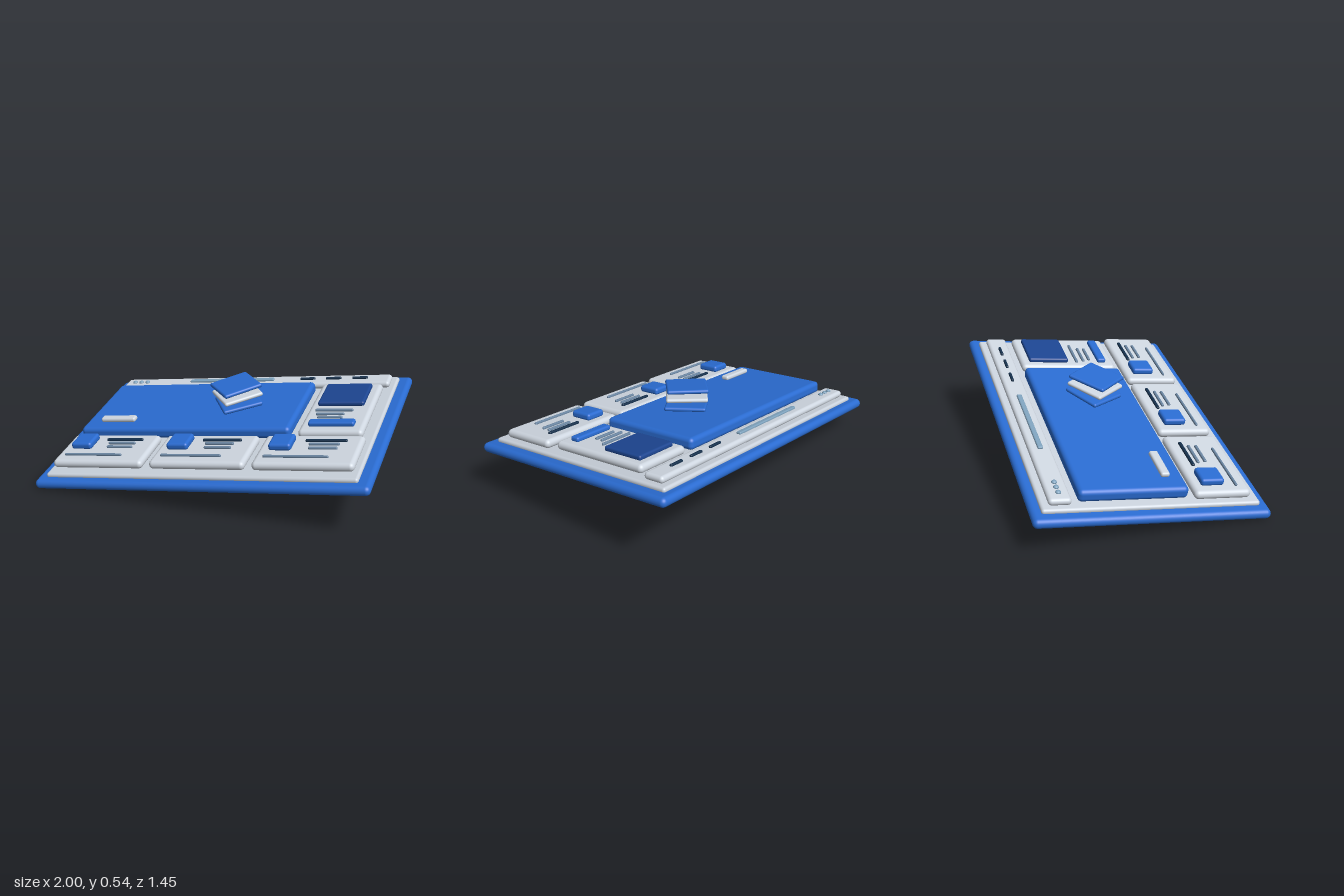
import * as THREE from 'three';
import { RoundedBoxGeometry } from 'three/addons/geometries/RoundedBoxGeometry.js';

const mat = (name, color) => {
  const m = new THREE.MeshStandardMaterial({ color });
  m.name = name;
  return m;
};

export function createModel() {
  const blue = mat('blue', 0x2a6cd2);
  const navy = mat('navy', 0x1d4692);
  const darkNavy = mat('darkNavy', 0x15304c);
  const lightGrey = mat('lightGrey', 0xd0d8e2);
  const panelGrey = mat('panelGrey', 0xcbd3dd);
  const slate = mat('slate', 0x6b86a2);
  const paleSlate = mat('paleSlate', 0x7fa3be);

  const model = new THREE.Group();
  model.name = 'dashboardModel';

  // Everything is laid out flat, then the whole board is tilted
  const board = new THREE.Group();
  board.name = 'tiltedBoard';
  board.position.set(0.004, 0.211, -0.003);
  board.rotation.set(0.124, -0.07, 0.15);
  model.add(board);

  // Rounded slab given by centre (x, z), size (w, d) and bottom / top heights
  const slab = (parent, name, material, x, z, w, d, y0, y1, radius = 0.012) => {
    const h = y1 - y0;
    const geo = new RoundedBoxGeometry(w, h, d, 4, Math.min(radius, h * 0.49, d * 0.49));
    const mesh = new THREE.Mesh(geo, material);
    mesh.name = name;
    mesh.position.set(x, (y0 + y1) / 2, z);
    parent.add(mesh);
    return mesh;
  };
  const line = (parent, name, material, x, z, length, y, d = 0.017) =>
    slab(parent, name, material, x, z, length, d, y - 0.005, y + 0.012, 0.007);

  // Base frame, underside plate and inner panel
  slab(board, 'frame', blue, 0, 0, 1.94, 1.3, 0, 0.055, 0.027);
  const under = new THREE.Mesh(new THREE.BoxGeometry(1.875, 0.006, 1.235), navy);
  under.name = 'undersidePlate';
  board.add(under);
  slab(board, 'innerPanel', panelGrey, -0.003, 0, 1.812, 1.198, 0.045, 0.077, 0.015);

  // Top bar with round buttons, search field and menu items
  const topBar = new THREE.Group();
  topBar.name = 'topBar';
  board.add(topBar);
  slab(topBar, 'barBody', lightGrey, -0.004, -0.5, 1.75, 0.122, 0.075, 0.115, 0.02);
  for (let i = 0; i < 3; i++) {
    const dot = new THREE.Mesh(new THREE.SphereGeometry(0.015, 20, 12), paleSlate);
    dot.name = 'roundButton';
    dot.scale.y = 0.7;
    dot.position.set(-0.813 + i * 0.044, 0.117, -0.5);
    topBar.add(dot);
    line(topBar, 'menuItem', darkNavy, 0.36 + i * 0.163, -0.502, 0.095, 0.115);
  }
  line(topBar, 'searchField', paleSlate, -0.136, -0.5, 0.56, 0.115, 0.03);

  // Large banner with its button
  slab(board, 'banner', blue, -0.214, -0.106, 1.302, 0.6, 0.08, 0.15, 0.025);
  slab(board, 'bannerButton', lightGrey, -0.65, 0.09, 0.222, 0.05, 0.147, 0.175);

  // Side card with picture, text lines and button
  const side = new THREE.Group();
  side.name = 'sideCard';
  board.add(side);
  slab(side, 'sideCardBody', lightGrey, 0.663, -0.106, 0.367, 0.597, 0.08, 0.13, 0.025);
  slab(side, 'picture', navy, 0.66, -0.232, 0.27, 0.247, 0.125, 0.155);
  for (const [x, z, length] of [[0.635, -0.052, 0.22], [0.622, -0.006, 0.165], [0.63, 0.035, 0.145]]) {
    line(side, 'textLine', slate, x, z, length, 0.13);
  }
  slab(side, 'sideButton', blue, 0.66, 0.11, 0.262, 0.054, 0.125, 0.155);

  // Three lower cards
  for (const x of [-0.603, -0.002, 0.596]) {
    const card = new THREE.Group();
    card.name = 'lowerCard';
    card.position.set(x, 0, 0.386);
    board.add(card);
    slab(card, 'cardBody', lightGrey, 0, 0, 0.558, 0.32, 0.08, 0.13, 0.025);
    slab(card, 'cardIcon', blue, -0.155, -0.046, 0.127, 0.132, 0.125, 0.167, 0.016);
    line(card, 'cardTitle', darkNavy, 0.08, -0.086, 0.23, 0.13, 0.019);
    line(card, 'textLine', slate, 0.077, -0.047, 0.17, 0.13);
    line(card, 'textLine', slate, 0.08, -0.003, 0.16, 0.13);
    line(card, 'footerLine', slate, -0.048, 0.087, 0.36, 0.13, 0.015);
  }

  // Stack of floating square plates, each turned a little further
  const plates = [[0.185, 58, blue], [0.237, 51, lightGrey], [0.288, 48, blue]];
  for (const [y, angle, material] of plates) {
    const plate = slab(board, 'floatingPlate', material, 0.06, -0.08, 0.236, 0.236, y - 0.012, y + 0.012);
    plate.rotation.y = -THREE.MathUtils.degToRad(angle);
  }

  return model;
}
